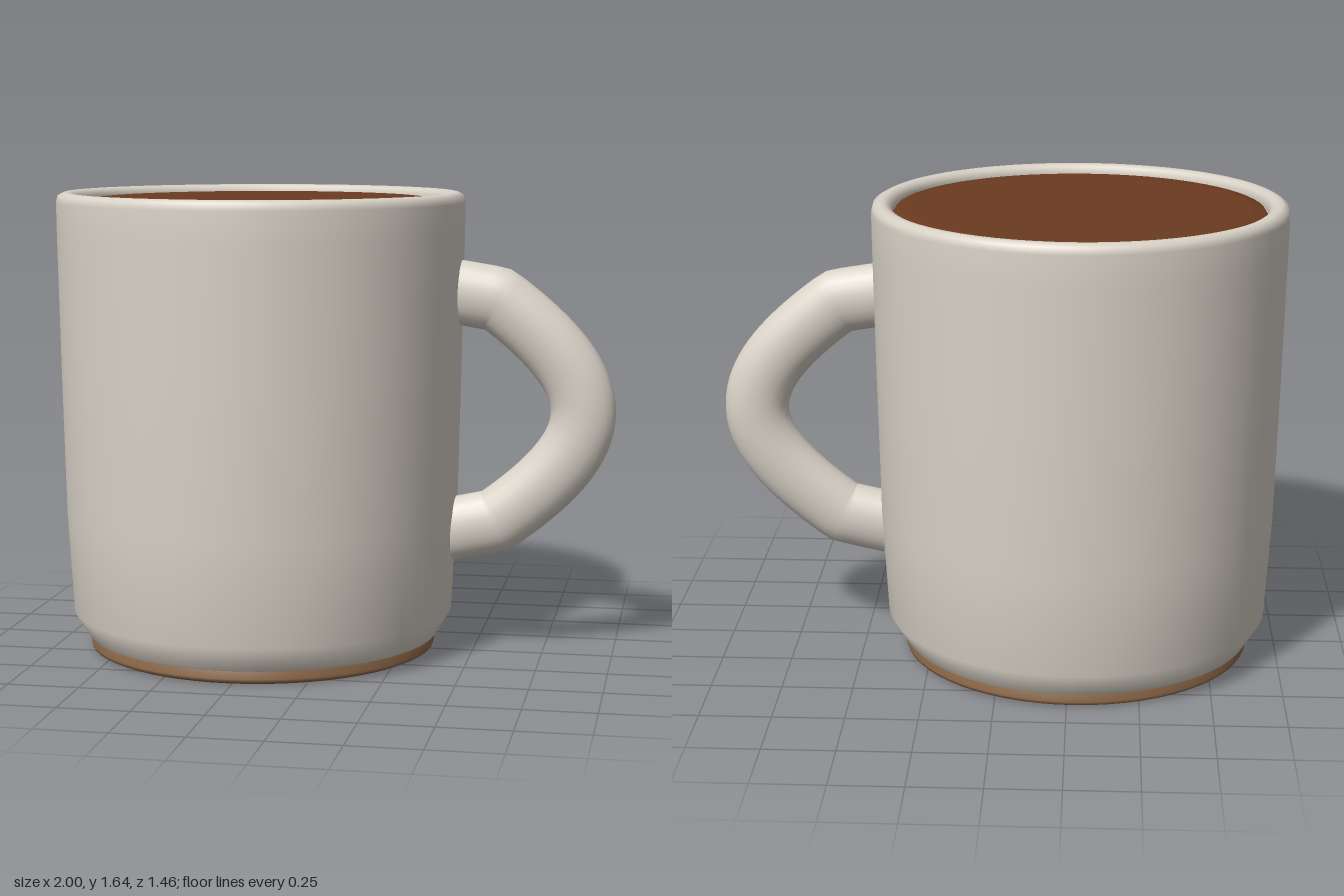
import * as THREE from 'three';

const flat = (name, color) => {
  const m = new THREE.MeshStandardMaterial({ color });
  m.name = name;
  return m;
};

export function createModel() {
  const ceramic = flat('ceramic', 0xd9d2c7);
  const clay = flat('bareClay', 0x8b6647);
  const coffee = flat('coffee', 0x6b3b20);

  const group = new THREE.Group();
  group.name = 'mug';
  const centerX = -0.272;

  // Round parts share one axis; profiles are [radius, height]
  const addLathe = (name, profile, material) => {
    const points = profile.map(([r, y]) => new THREE.Vector2(r, y));
    const mesh = new THREE.Mesh(new THREE.LatheGeometry(points, 64), material);
    mesh.name = name;
    mesh.position.x = centerX;
    group.add(mesh);
  };

  // Outer wall, rounded rim, inner wall and floor
  addLathe('body', [
    [0.59, 0.048], [0.625, 0.048], [0.634, 0.052], [0.687, 0.14], [0.707, 0.5],
    [0.718, 1.0], [0.727, 1.5], [0.728, 1.61], [0.722, 1.634], [0.703, 1.644],
    [0.683, 1.644], [0.665, 1.636], [0.654, 1.615], [0.65, 1.5],
    [0.635, 0.5], [0.6, 0.14], [0.56, 0.1], [0, 0.1],
  ], ceramic);

  // Unglazed foot ring with a recess underneath
  addLathe('foot', [
    [0, 0.055], [0.49, 0.055], [0.508, 0.048], [0.53, 0.015], [0.55, 0.003],
    [0.575, 0], [0.605, 0], [0.622, 0.008], [0.626, 0.02], [0.616, 0.052],
  ], clay);

  // Drink surface, turned down slightly at the edge
  addLathe('drink', [
    [0.653, 1.6], [0.645, 1.614], [0.59, 1.622], [0, 1.624],
  ], coffee);

  // Handle: a bow with a straight stub at each end, oval in cross-section.
  // Each stub is an eighth of the length, so a tube ring falls on each joint.
  const v = (x, y) => new THREE.Vector3(x, y, 0);
  const top = v(0.58, 1.273), bottom = v(0.577, 0.478);
  const bow = new THREE.CubicBezierCurve3(top, v(0.987, 0.975), v(0.987, 0.775), bottom);
  const stubEnd = (joint, slope) =>
    v(-1, slope).setLength(bow.getLength() / 6).add(joint);
  const path = new THREE.CurvePath();
  path.add(new THREE.LineCurve3(stubEnd(top, 0.16), top));
  path.add(bow);
  path.add(new THREE.LineCurve3(bottom, stubEnd(bottom, -0.22)));
  const tube = new THREE.TubeGeometry(path, 56, 0.115, 24, false);
  tube.scale(1, 1, 0.73);
  const handle = new THREE.Mesh(tube, ceramic);
  handle.name = 'handle';
  group.add(handle);

  return group;
}
